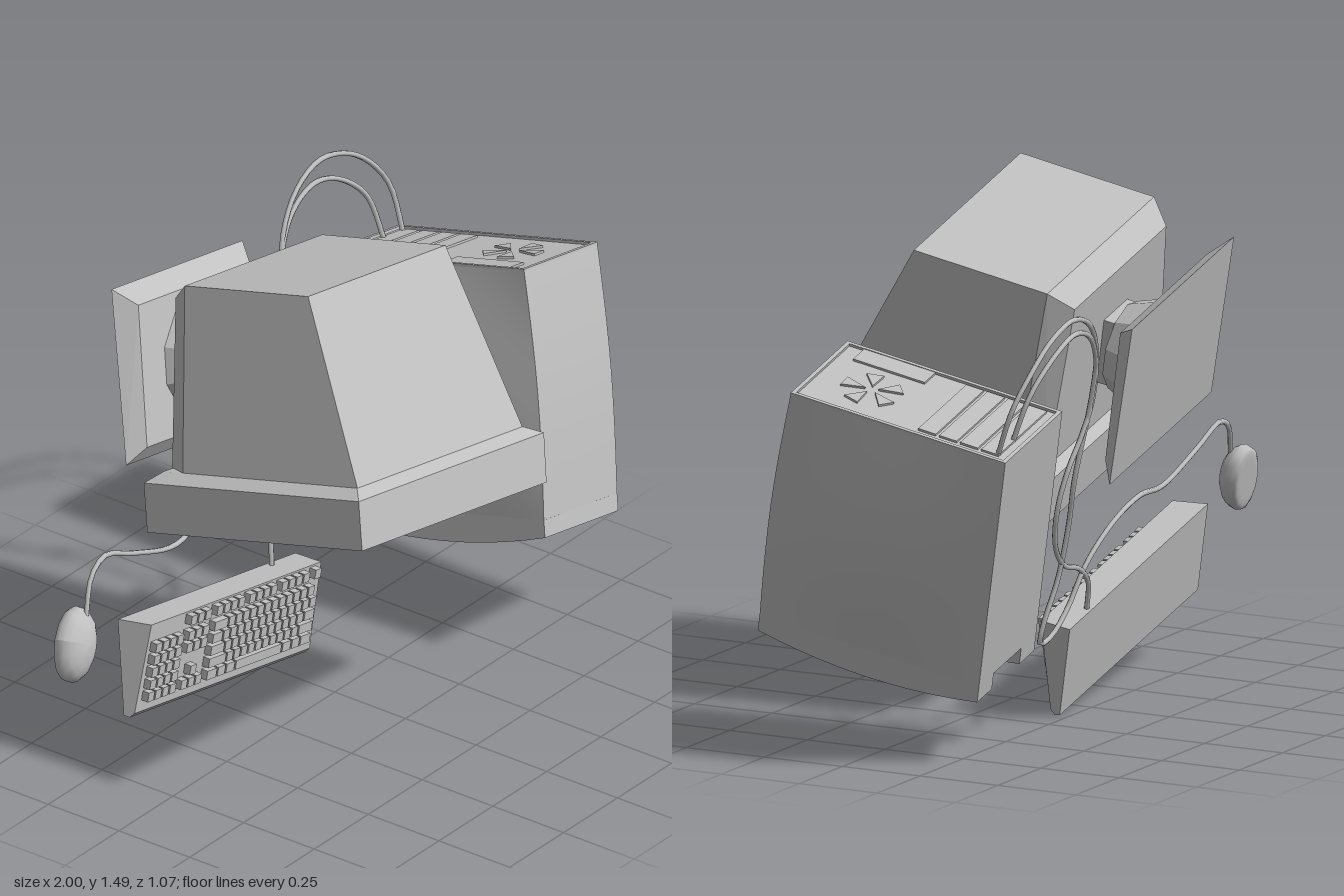
import * as THREE from 'three';
import { mergeGeometries } from 'three/addons/utils/BufferGeometryUtils.js';
import { ConvexGeometry } from 'three/addons/geometries/ConvexGeometry.js';

const casing = new THREE.MeshStandardMaterial({ color: 0xc0c0c0, side: THREE.DoubleSide });
casing.name = 'casingGrey';

// The whole desktop set is tilted: its own right, up and front axes
const RIGHT = new THREE.Vector3(0.977, -0.208, -0.04).normalize();
const FRONT = new THREE.Vector3(-0.196, -0.954, 0.225).normalize();
const UP = new THREE.Vector3().crossVectors(FRONT, RIGHT).normalize();
RIGHT.crossVectors(UP, FRONT);

function add(parent, name, geometry, x = 0, y = 0, z = 0) {
  const mesh = new THREE.Mesh(geometry, casing);
  mesh.name = name;
  mesh.position.set(x, y, z);
  parent.add(mesh);
}

// Side profile of [z, y] points, extruded across x
function sideExtrude(points, x0, x1) {
  const shape = new THREE.Shape(points.map(([z, y]) => new THREE.Vector2(z, y)));
  const g = new THREE.ExtrudeGeometry(shape, { depth: x1 - x0, bevelEnabled: false });
  return g.rotateY(-Math.PI / 2).translate(x1, 0, 0);
}

// Flat-sided loft through rectangles [x0, x1, y0, y1, z], capped at both ends
function loft(rings) {
  const pos = [];
  const corners = rings.map(([x0, x1, y0, y1, z]) => [[x0, y0, z], [x1, y0, z], [x1, y1, z], [x0, y1, z]]);
  const quad = (a, b, c, d) => pos.push(...a, ...b, ...c, ...a, ...c, ...d);
  for (let r = 0; r < corners.length - 1; r++) {
    const a = corners[r], b = corners[r + 1];
    for (let i = 0; i < 4; i++) {
      const j = (i + 1) % 4;
      quad(a[i], a[j], b[j], b[i]);
    }
  }
  const s = corners[0], e = corners[corners.length - 1];
  quad(s[3], s[2], s[1], s[0]);
  quad(e[0], e[1], e[2], e[3]);
  const g = new THREE.BufferGeometry();
  g.setAttribute('position', new THREE.Float32BufferAttribute(pos, 3));
  g.computeVertexNormals();
  return g;
}

function makeMonitor() {
  const monitor = new THREE.Group();
  monitor.name = 'monitor';
  const cx = -0.308;
  const rect = (hw, y0, y1, z) => [cx - hw, cx + hw, y0, y1, z];
  // Convex solid mirrored about the monitor's middle, from [halfWidth, y, z]
  const mirroredHull = (points) => new ConvexGeometry(points.flatMap(([hw, y, z]) => [
    new THREE.Vector3(cx - hw, y, z), new THREE.Vector3(cx + hw, y, z),
  ]));

  // Tapering rear housing with chamfered lower edges
  add(monitor, 'rearHousing', mirroredHull([
    [0.415, 0.63, -0.775], [0.415, 0.03, -0.775], [0.365, -0.04, -0.775],
    [0.344, 0.448, -1.315], [0.344, 0.028, -1.315], [0.295, -0.04, -1.265],
  ]));

  // Front frame, with sides sloping in to the shallow screen
  add(monitor, 'bezel', loft([
    rect(0.415, -0.035, 0.625, -0.79), rect(0.464, -0.07, 0.662, -0.765),
    rect(0.462, -0.07, 0.662, -0.622), rect(0.43, -0.045, 0.62, -0.622),
    rect(0.385, -0.02, 0.58, -0.655),
  ]));
  add(monitor, 'screen', new THREE.BoxGeometry(0.765, 0.595, 0.006), cx, 0.28, -0.654);

  // Swivel stand
  add(monitor, 'neck', new THREE.BoxGeometry(0.15, 0.07, 0.2), cx, -0.06, -1.03);
  const swivel = new THREE.CylinderGeometry(0.13, 0.175, 0.11, 10).toNonIndexed();
  swivel.computeVertexNormals();
  add(monitor, 'swivel', swivel, cx, -0.13, -1.03);
  add(monitor, 'standBase', mirroredHull([
    [0.328, -0.235, -1.282], [0.328, -0.222, -0.775], [0.28, -0.18, -1.23], [0.28, -0.18, -0.82],
  ]));
  return monitor;
}

function makeTower() {
  const tower = new THREE.Group();
  tower.name = 'tower';
  const cx = 0.566, w = 0.367, h = 0.675, d = 0.715;

  // Case with swelling sides and an arched top that rises to the front
  const body = new THREE.BoxGeometry(w, h, d, 8, 8, 10);
  const p = body.attributes.position;
  for (let i = 0; i < p.count; i++) {
    const along = p.getZ(i) / d, y = p.getY(i);
    const swell = Math.cos(Math.PI * along);
    p.setX(i, p.getX(i) * (1 + 0.21 * swell * Math.cos(Math.PI * y / h)));
    if (y > 0) p.setY(i, y * (1 + 0.04 * swell + 0.044 * (along + 0.5)));
  }
  body.computeVertexNormals();
  add(tower, 'case', body, cx, 0.1325, -0.8075);

  // Bowed front panel with a notch between two feet
  const frontZ = (y) => -0.399 + 0.034 * (1 - ((y - 0.14) / 0.345) ** 2);
  const panel = (y0, y1) => {
    const pts = [[-0.45, y1], [-0.45, y0]];
    for (let i = 0; i <= 10; i++) {
      const y = y0 + (y1 - y0) * i / 10;
      pts.push([frontZ(y), y]);
    }
    return pts;
  };
  const x0 = cx - w / 2, x1 = cx + w / 2;
  add(tower, 'frontPanelLeft', sideExtrude(panel(-0.205, 0.485), x0, x0 + 0.095));
  add(tower, 'frontPanelRight', sideExtrude(panel(-0.205, 0.485), x1 - 0.095, x1));
  add(tower, 'frontPanelMiddle', sideExtrude(panel(-0.1, 0.485), x0 + 0.095, x1 - 0.095));
  for (let i = 0; i < 4; i++) {
    const y = 0.03 + i * 0.06;
    add(tower, 'frontVent', new THREE.BoxGeometry(0.12, 0.02, 0.008), cx, y, frontZ(y));
  }

  // Back: rim, expansion slots, socket plate and fan grille
  const back = -1.167;
  for (const s of [-1, 1]) {
    add(tower, 'backRimSide', new THREE.BoxGeometry(0.012, h, 0.012), cx + s * (w / 2 - 0.006), 0.1325, back);
    add(tower, 'backRimEdge', new THREE.BoxGeometry(w, 0.012, 0.012), cx, 0.1325 + s * (h / 2 - 0.006), back);
  }
  for (let i = 0; i < 4; i++) {
    add(tower, 'expansionSlot', new THREE.BoxGeometry(0.31, 0.055, 0.009), 0.56, -0.14 + i * 0.066, back);
  }
  add(tower, 'socketPlate', new THREE.BoxGeometry(0.07, 0.225, 0.009), 0.43, 0.3, back);
  for (let i = 0; i < 5; i++) {
    const a = 0.3 + i * Math.PI * 0.4;
    const corner = (r, t) => new THREE.Vector2(r * Math.cos(t), r * Math.sin(t));
    const wedge = new THREE.Shape([corner(0.02, a), corner(0.09, a - 0.28), corner(0.09, a + 0.28)]);
    const blade = new THREE.ExtrudeGeometry(wedge, { depth: 0.009, bevelEnabled: false });
    add(tower, 'fanGrille', blade, 0.59, 0.293, back - 0.0045);
  }
  return tower;
}

function makeKeyboard() {
  const keyboard = new THREE.Group();
  keyboard.name = 'keyboard';
  const left = -0.747, tilt = 0.257;
  // Wedge body, its ends leaning slightly inward
  const body = sideExtrude([
    [-0.357, -0.205], [-0.08, -0.205], [-0.074, -0.188], [-0.086, -0.172], [-0.114, -0.165], [-0.343, -0.105],
  ], left, 0.143);
  const p = body.attributes.position;
  for (let i = 0; i < p.count; i++) {
    const x = p.getX(i);
    p.setX(i, x + (x < -0.3 ? 0.2 : -0.2) * (p.getY(i) + 0.205));
  }
  body.computeVertexNormals();
  add(keyboard, 'keyboardBody', body);

  const keys = [];
  const key = (u, row, width = 1) => {
    const z = row === 5 ? -0.322 : -0.132 - row * 0.036;
    const g = new THREE.BoxGeometry(width * 0.036 - 0.007, 0.03, 0.028);
    keys.push(g.rotateX(tilt).translate(left + u + width * 0.018, -0.158 + (-0.114 - z) * 0.262, z));
  };
  // Number pad
  for (let r = 0; r < 5; r++) for (let c = 0; c < 4; c++) key(0.028 + c * 0.036, r);
  // Arrow and editing keys
  for (let c = 0; c < 3; c++) {
    for (const r of [0, 3, 4, 5]) key(0.192 + c * 0.036, r);
  }
  key(0.228, 1);
  // Main block, row by row, in key widths
  const ones = (n) => Array(n).fill(1);
  [
    [1.5, 1.2, 1.3, 6.5, 1.3, 1.2, 1.5],
    [2.5, ...ones(10), 2],
    [2, ...ones(11), 1.5],
    [1.5, ...ones(12), 1],
    [2, ...ones(12)],
  ].forEach((row, r) => {
    let u = 0.322;
    for (const width of row) {
      key(u, r, width);
      u += width * 0.036;
    }
  });
  // Top row keys in three groups and one apart
  for (const start of [0, 4.5, 9]) for (let c = 0; c < 4; c++) key(0.322 + (start + c) * 0.036, 5);
  key(0.322 + 13.6 * 0.036, 5);
  add(keyboard, 'keys', mergeGeometries(keys));
  return keyboard;
}

// Domed mouse with a flat underside
function makeMouse() {
  const g = new THREE.SphereGeometry(1, 14, 10);
  const p = g.attributes.position;
  for (let i = 0; i < p.count; i++) p.setY(i, Math.max(p.getY(i), -0.4));
  g.scale(0.08, 0.055, 0.11);
  g.computeVertexNormals();
  const mouse = new THREE.Mesh(g, casing);
  mouse.name = 'mouse';
  mouse.position.set(-0.979, -0.197, -0.335);
  mouse.rotation.y = -0.36;
  return mouse;
}

// Cable on the tilted desk plane, from [x, y, height over the desk] points
function makeCable(name, points) {
  const path = points.map(([x, y, lift = 0]) =>
    new THREE.Vector3(x, y, (lift - 0.188 - UP.x * x - UP.y * y) / UP.z));
  const mesh = new THREE.Mesh(new THREE.TubeGeometry(new THREE.CatmullRomCurve3(path), 90, 0.008, 6), casing);
  mesh.name = name;
  return mesh;
}

export function createModel() {
  const model = new THREE.Group();
  model.name = 'desktopComputer';
  const desk = new THREE.Group();
  desk.name = 'tiltedSet';
  desk.quaternion.setFromRotationMatrix(new THREE.Matrix4().makeBasis(RIGHT, UP, FRONT));
  desk.add(makeMonitor(), makeTower(), makeKeyboard(), makeMouse());
  model.add(desk);
  model.add(makeCable('mouseCable', [
    [-0.87, 0.55, 0.02], [-0.81, 0.65, 0.02], [-0.73, 0.68, 0.02], [-0.6, 0.63, 0.02], [-0.4, 0.565, 0.02],
    [-0.2, 0.575, 0.01], [0, 0.53], [0.13, 0.44], [0.2, 0.33], [0.28, 0.265], [0.36, 0.26], [0.36, 0.32],
    [0.32, 0.44], [0.32, 0.6], [0.345, 0.74], [0.34, 0.98], [0.37, 1.12], [0.46, 1.22], [0.6, 1.265],
    [0.74, 1.23], [0.85, 1.15], [0.905, 1.06, 0.01], [0.9, 0.91, 0.03],
  ]));
  model.add(makeCable('keyboardCable', [
    [0.05, 0.29], [0.08, 0.38], [0.17, 0.44], [0.3, 0.48], [0.4, 0.57], [0.43, 0.68], [0.41, 0.78], [0.36, 0.87],
    [0.33, 0.97], [0.36, 1.09], [0.44, 1.18], [0.56, 1.215], [0.68, 1.18], [0.79, 1.08, 0.01], [0.81, 0.93, 0.03],
  ]));
  return model;
}
